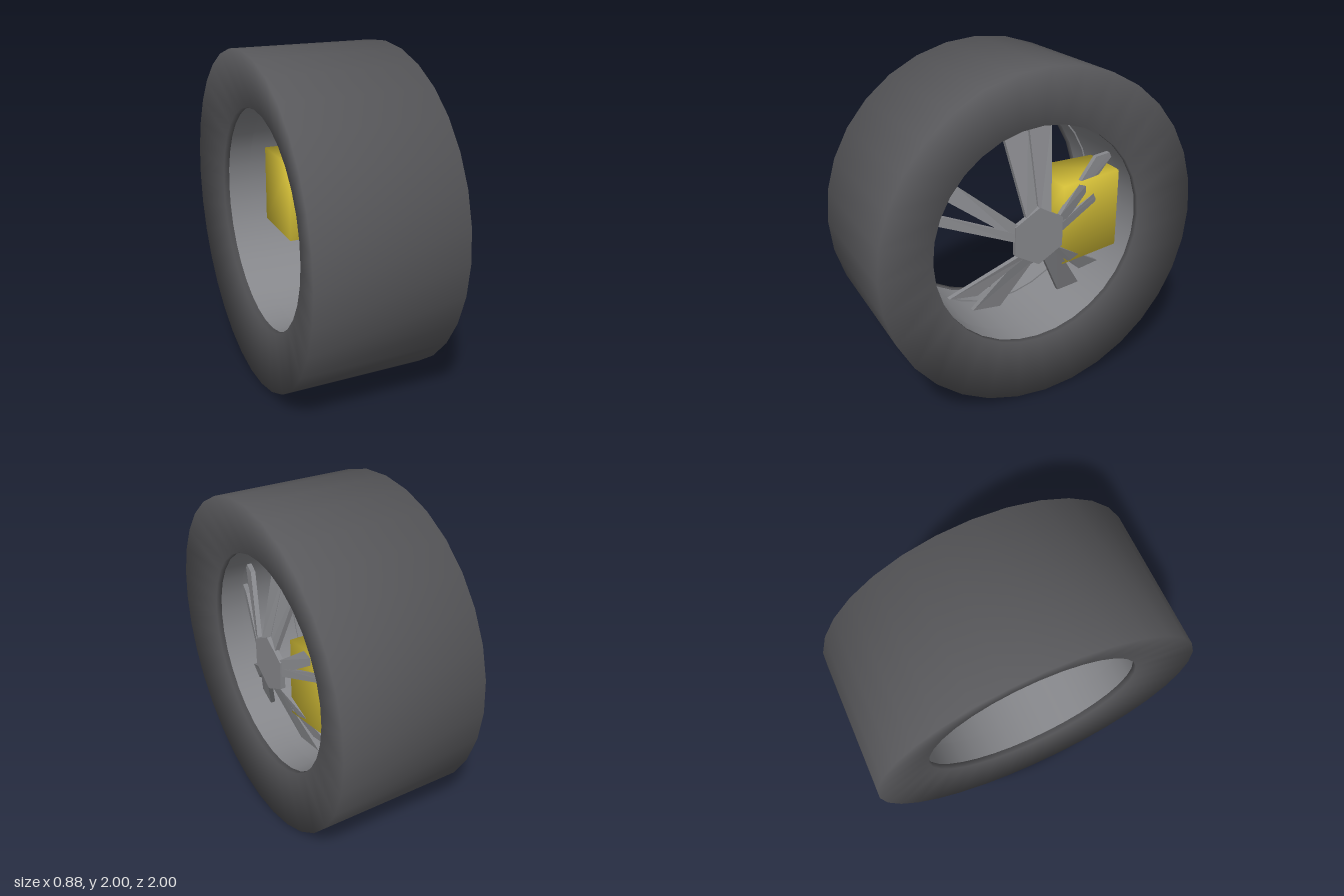
import * as THREE from 'three';
import { mergeVertices } from 'three/addons/utils/BufferGeometryUtils.js';

const SIDES = 32;

function material(name, color) {
  const m = new THREE.MeshStandardMaterial({ color });
  m.name = name;
  return m;
}

export function createModel() {
  const rubber = material('dark rubber', 0x57575a);
  const metal = material('grey metal', 0x87888c);
  const yellow = material('yellow paint', 0xdcc63a);

  const wheel = new THREE.Group();
  wheel.name = 'wheel';

  const add = (parent, name, geometry, mat) => {
    const mesh = new THREE.Mesh(geometry, mat);
    mesh.name = name;
    parent.add(mesh);
    return mesh;
  };

  // Ring turned about the x axis from [radius, x] pairs
  const turned = (profile) =>
    new THREE.LatheGeometry(profile.map(([r, x]) => new THREE.Vector2(r, x)), SIDES).rotateZ(-Math.PI / 2);

  // Tyre: square shoulders, slightly dished sidewalls, softly shaded
  add(wheel, 'tyre', turned([
    [0.69, -0.335], [0.667, -0.335], [0.667, -0.37], [1, -0.44],
    [1, 0.44], [0.667, 0.37], [0.667, 0.335], [0.69, 0.335],
  ]), rubber);

  // Rim: inward-facing barrel with a shallow step near each end
  const rim = new THREE.Group();
  rim.name = 'rim';
  wheel.add(rim);
  const rimProfile = [[0.675, 0.34], [0.675, 0.19], [0.685, 0.19], [0.685, -0.19], [0.675, -0.19], [0.675, -0.34]];
  for (let i = 0; i < rimProfile.length - 1; i++) {
    add(rim, 'rimBand' + (i + 1), turned([rimProfile[i], rimProfile[i + 1]]), metal);
  }

  // Plate drawn in [z, y] about the axle, lying in the wheel plane
  const plate = (outline, depth) => {
    const shape = new THREE.Shape(outline.map(([z, y]) => new THREE.Vector2(-z, y)));
    return new THREE.ExtrudeGeometry(shape, { depth, bevelEnabled: false }).rotateY(Math.PI / 2);
  };

  // Hexagonal hub
  const hex = [];
  for (let i = 0; i < 6; i++) {
    const a = (i * Math.PI) / 3;
    hex.push([0.178 * Math.sin(a), 0.178 * Math.cos(a)]);
  }
  add(wheel, 'hub', plate(hex, 0.03).translate(0.31, 0, 0), metal);

  // Five split spokes, mirrored front to back, leaning inward towards the rim
  const spokeOutlines = [
    [[0.004, 0.1], [0.08, 0.12], [0.167, 0.665], [0.008, 0.67], [0.004, 0.6]],
    [[0.14, 0.1], [0.14, 0.01], [0.59, 0.33], [0.575, 0.36], [0.46, 0.36]],
    [[0.14, 0.045], [0.14, -0.01], [0.655, 0.165], [0.65, 0.185], [0.53, 0.185]],
    [[0.13, -0.1], [0.1, -0.12], [0.35, -0.345], [0.51, -0.345]],
    [[0.12, -0.1], [0.03, -0.14], [0.2, -0.455], [0.365, -0.455]],
  ];
  const spokes = new THREE.Group();
  spokes.name = 'spokes';
  wheel.add(spokes);
  for (const side of [1, -1]) {
    spokeOutlines.forEach((outline, i) => {
      const g = plate(outline.map(([z, y]) => [z * side, y]), 0.03);
      const p = g.attributes.position;
      for (let v = 0; v < p.count; v++) {
        const r = Math.hypot(p.getY(v), p.getZ(v));
        p.setX(v, p.getX(v) + 0.305 - 0.15 * Math.max(0, (r - 0.17) / 0.49));
      }
      g.computeVertexNormals();
      add(spokes, (side > 0 ? 'frontSpoke' : 'rearSpoke') + (i + 1), g, metal);
    });
  }

  // Brake caliper: softly shaded block whose outer face slopes in towards the rim
  let block = new THREE.BoxGeometry(0.34, 0.5, 0.44);
  block.deleteAttribute('normal');
  block.deleteAttribute('uv');
  block = mergeVertices(block);
  const bp = block.attributes.position;
  for (let v = 0; v < bp.count; v++) {
    if (bp.getX(v) > 0) bp.setX(v, bp.getX(v) + 0.08 * bp.getZ(v) / 0.44);
  }
  block.computeVertexNormals();
  add(wheel, 'brakeCaliper', block.translate(0.08, 0, -0.41), yellow);

  wheel.position.y = 1;
  const model = new THREE.Group();
  model.name = 'wheelModel';
  model.add(wheel);
  return model;
}
